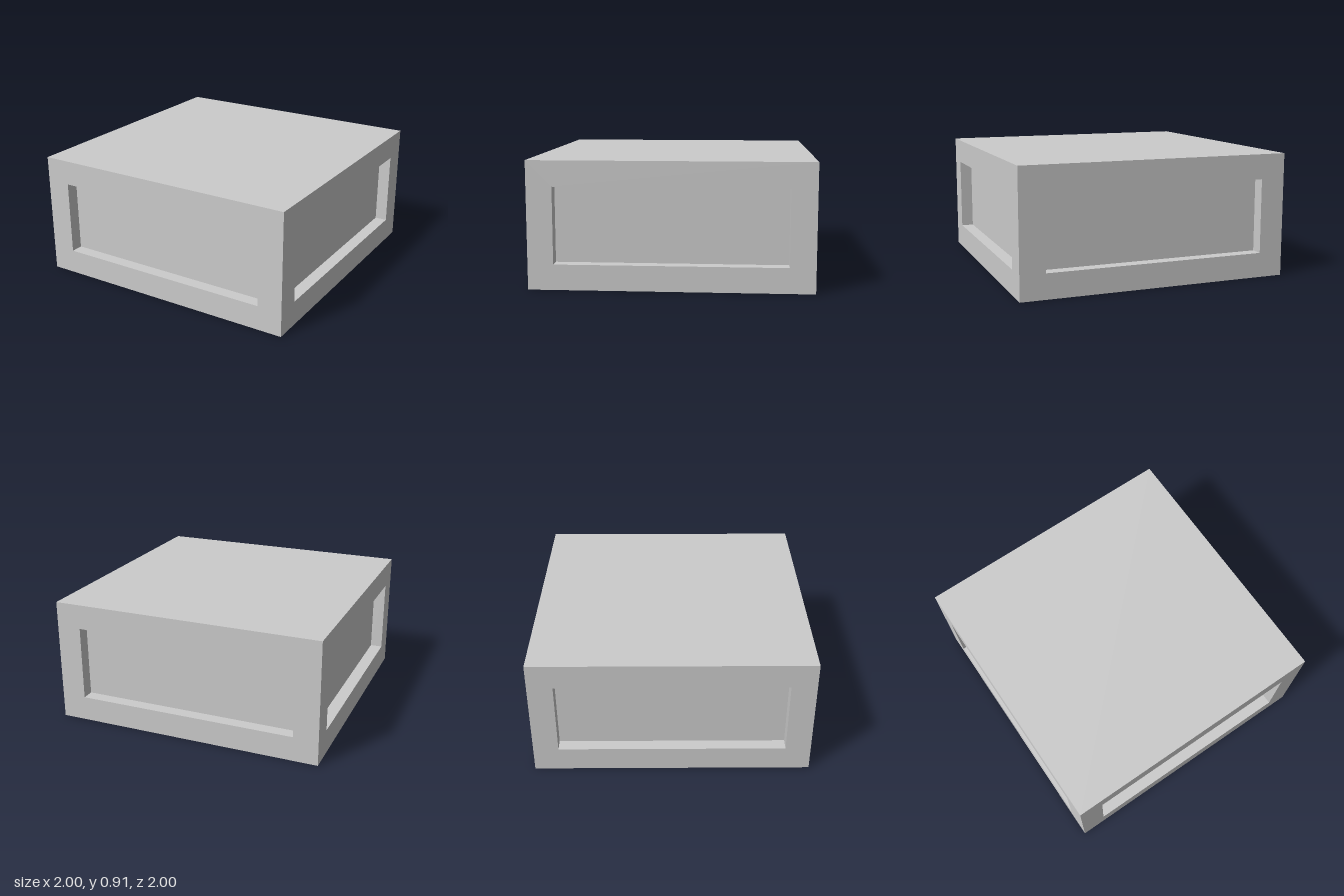
import * as THREE from 'three';

const U = 1 / 11;                    // base module of the proportions
const SIZE = 22 * U, HEIGHT = 10 * U; // overall block
const BORDER = 2 * U, DEPTH = U;      // frame width and recess depth
const W = SIZE - 2 * BORDER, H = HEIGHT - 2 * BORDER; // recess opening

export function createModel() {
  const model = new THREE.Group();
  model.name = 'panelledBlock';
  const material = new THREE.MeshStandardMaterial({ color: 0xcccccc });

  const add = (parent, name, geometry, position, rotation = [0, 0, 0]) => {
    const mesh = new THREE.Mesh(geometry, material);
    mesh.name = name;
    mesh.position.set(...position);
    mesh.rotation.set(...rotation);
    parent.add(mesh);
  };

  // Flat frame face with a rectangular opening
  const rectangle = (path, w, h) => path
    .moveTo(-w / 2, -h / 2).lineTo(w / 2, -h / 2)
    .lineTo(w / 2, h / 2).lineTo(-w / 2, h / 2).closePath();
  const outline = new THREE.Shape();
  rectangle(outline, SIZE, HEIGHT);
  const opening = new THREE.Path();
  rectangle(opening, W, H);
  outline.holes.push(opening);
  const frame = new THREE.ShapeGeometry(outline);
  const panel = new THREE.PlaneGeometry(W, H);
  const ledge = new THREE.PlaneGeometry(W, DEPTH);
  const jamb = new THREE.PlaneGeometry(DEPTH, H);
  const q = Math.PI / 2;

  // Four identical sides, each with a sunken panel
  ['front', 'left', 'back', 'right'].forEach((side, i) => {
    const wall = new THREE.Group();
    wall.name = side + 'Side';
    wall.position.y = HEIGHT / 2;
    wall.rotation.y = i * q;
    const z = SIZE / 2, mid = z - DEPTH / 2;
    add(wall, side + 'Frame', frame, [0, 0, z]);
    add(wall, side + 'Panel', panel, [0, 0, z - DEPTH]);
    add(wall, side + 'LowerLedge', ledge, [0, -H / 2, mid], [-q, 0, 0]);
    add(wall, side + 'UpperLedge', ledge, [0, H / 2, mid], [q, 0, 0]);
    for (const s of [-1, 1]) {
      add(wall, side + (s > 0 ? 'JambA' : 'JambB'), jamb, [s * W / 2, 0, mid], [0, -s * q, 0]);
    }
    model.add(wall);
  });

  // Plain top and underside
  const cap = new THREE.PlaneGeometry(SIZE, SIZE);
  add(model, 'top', cap, [0, HEIGHT, 0], [-q, 0, 0]);
  add(model, 'underside', cap, [0, 0, 0], [q, 0, 0]);
  return model;
}
